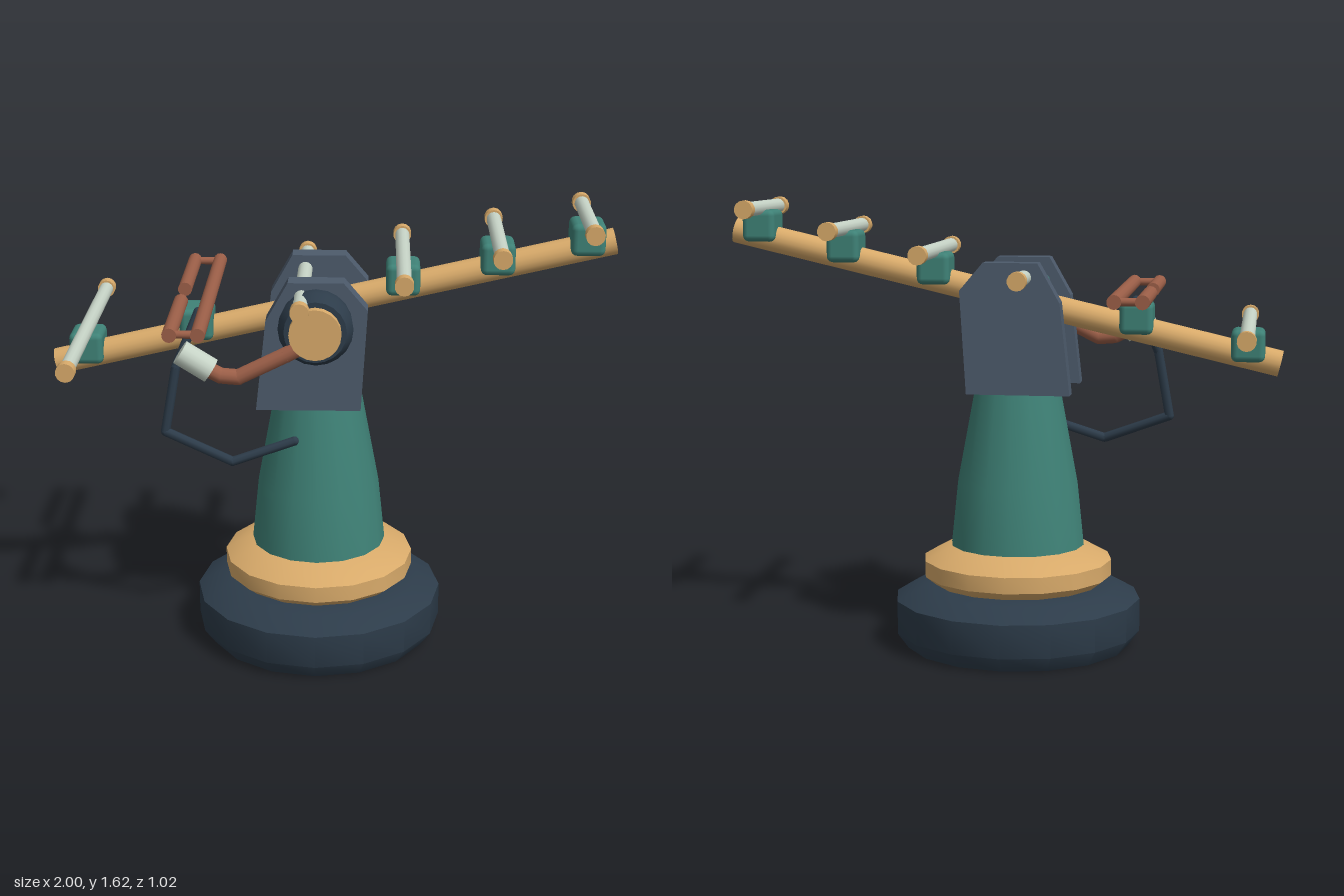
import * as THREE from 'three';
import { toCreasedNormals } from 'three/addons/utils/BufferGeometryUtils.js';
import { RoundedBoxGeometry } from 'three/addons/geometries/RoundedBoxGeometry.js';

const paint = (name, color) => {
  const m = new THREE.MeshStandardMaterial({ color });
  m.name = name;
  return m;
};
const V = (x, y, z) => new THREE.Vector3(x, y, z);

export function createModel() {
  const navy = paint('navy', 0x2d3c4a);
  const tan = paint('tan', 0xd8aa6a);
  const teal = paint('teal', 0x3f8277);
  const slate = paint('slate', 0x4d5b6c);
  const pale = paint('pale green', 0xc6d3c6);
  const copper = paint('copper', 0x9c5f48);

  const model = new THREE.Group();
  model.name = 'antennaMast';

  const add = (parent, name, geometry, material) => {
    const mesh = new THREE.Mesh(geometry, material);
    mesh.name = name;
    parent.add(mesh);
    return mesh;
  };
  // Cylinder between two points
  const rod = (parent, name, a, b, r, material, sides = 14) => {
    const mesh = add(parent, name, new THREE.CylinderGeometry(r, r, a.distanceTo(b), sides), material);
    mesh.position.copy(a).add(b).multiplyScalar(0.5);
    mesh.quaternion.setFromUnitVectors(V(0, 1, 0), b.clone().sub(a).normalize());
    return mesh;
  };
  // Chain of rods with ball joints
  const chain = (name, points, r, material, sides) => {
    const group = new THREE.Group();
    group.name = name;
    points.forEach((p, i) => {
      if (i) rod(group, name + 'Segment', points[i - 1], p, r, material, sides);
      add(group, name + 'Joint', new THREE.SphereGeometry(r, sides, 6), material).position.copy(p);
    });
    model.add(group);
  };
  const turned = (name, profile, material, sides = 16) => {
    const points = profile.map(([r, y]) => new THREE.Vector2(r, y));
    const geometry = toCreasedNormals(new THREE.LatheGeometry(points, sides), 0.7);
    return add(model, name, geometry, material);
  };

  // Pedestal: foot, collar and tapered column
  const axisX = -0.05;
  turned('base', [[0, 0], [0.41, 0], [0.45, 0.055], [0.45, 0.175], [0.37, 0.22], [0.3, 0.23], [0, 0.23]], navy).position.x = axisX;
  turned('collar', [[0, 0.22], [0.3, 0.225], [0.345, 0.26], [0.345, 0.318], [0.25, 0.37], [0, 0.37]], tan).position.x = axisX;
  turned('column', [[0, 0.36], [0.245, 0.36], [0.22, 0.6], [0.138, 1.04], [0, 1.04]], teal).position.x = axisX;

  // Pair of bracket plates
  const outline = [[-0.262, 0.945], [0.105, 0.945], [0.128, 1.31], [0.045, 1.408], [-0.147, 1.408], [-0.225, 1.27]];
  const plate = new THREE.Shape(outline.map(([x, y]) => new THREE.Vector2(x, y)));
  for (const z of [0.14, -0.216]) {
    const geometry = new THREE.ExtrudeGeometry(plate, { depth: 0.076, bevelEnabled: false });
    add(model, 'bracketPlate', geometry, slate).position.z = z;
  }

  // Sloping boom
  const slope = Math.tan(0.228);
  const boomY = (x) => 1.277 + slope * x;
  rod(model, 'boom', V(-0.989, boomY(-0.989), 0), V(0.989, boomY(0.989), 0), 0.047, tan, 18);

  const addClamp = (x) => {
    add(model, 'clamp', new RoundedBoxGeometry(0.12, 0.115, 0.145, 2, 0.022), teal)
      .position.set(x, boomY(x) + 0.04, 0);
  };

  // Cross elements with end caps: [x, half length]
  for (const [x, half] of [[-0.875, 0.51], [-0.1, 0.405], [0.25, 0.357], [0.58, 0.297], [0.89, 0.25]]) {
    const y = boomY(x) + 0.104;
    addClamp(x);
    rod(model, 'element', V(x, y, -half + 0.02), V(x, y, half - 0.02), 0.026, pale);
    for (const s of [-1, 1]) {
      rod(model, 'elementCap', V(x, y, s * (half - 0.038)), V(x, y, s * half), 0.033, tan);
    }
  }

  // Folded dipole with a feed gap
  addClamp(-0.48);
  rod(model, 'dipoleBar', V(-0.435, 1.298, -0.467), V(-0.435, 1.298, 0.467), 0.025, copper);
  for (const s of [-1, 1]) {
    rod(model, 'dipoleHalf', V(-0.53, 1.298, s * 0.07), V(-0.53, 1.298, s * 0.467), 0.025, copper);
    rod(model, 'dipoleLink', V(-0.53, 1.298, s * 0.452), V(-0.435, 1.298, s * 0.452), 0.014, copper);
  }

  // Drive drum and hub on the front plate
  const drum = turned('driveDrum', [[0, 0.21], [0.125, 0.21], [0.13, 0.275], [0.108, 0.314], [0, 0.314]], navy, 20);
  drum.rotation.x = Math.PI / 2;
  drum.position.set(axisX, 1.262, 0);
  rod(model, 'driveHub', V(axisX, 1.262, 0.3), V(axisX, 1.262, 0.345), 0.09, tan, 20);

  // Crank arm and grip
  chain('crankArm', [V(-0.06, 1.23, 0.31), V(-0.15, 1.182, 0.31), V(-0.315, 1.1, 0.31), V(-0.375, 1.105, 0.31), V(-0.43, 1.135, 0.31)], 0.028, copper, 12);
  rod(model, 'crankGrip', V(-0.408, 1.122, 0.308), V(-0.512, 1.188, 0.308), 0.044, pale, 16);

  // Feed cable from dipole to column
  chain('feedCable', [V(-0.47, 1.26, 0.075), V(-0.55, 1.07, 0.125), V(-0.592, 0.832, 0.138), V(-0.35, 0.738, 0.185), V(-0.13, 0.81, 0.165)], 0.017, navy, 8);

  return model;
}
